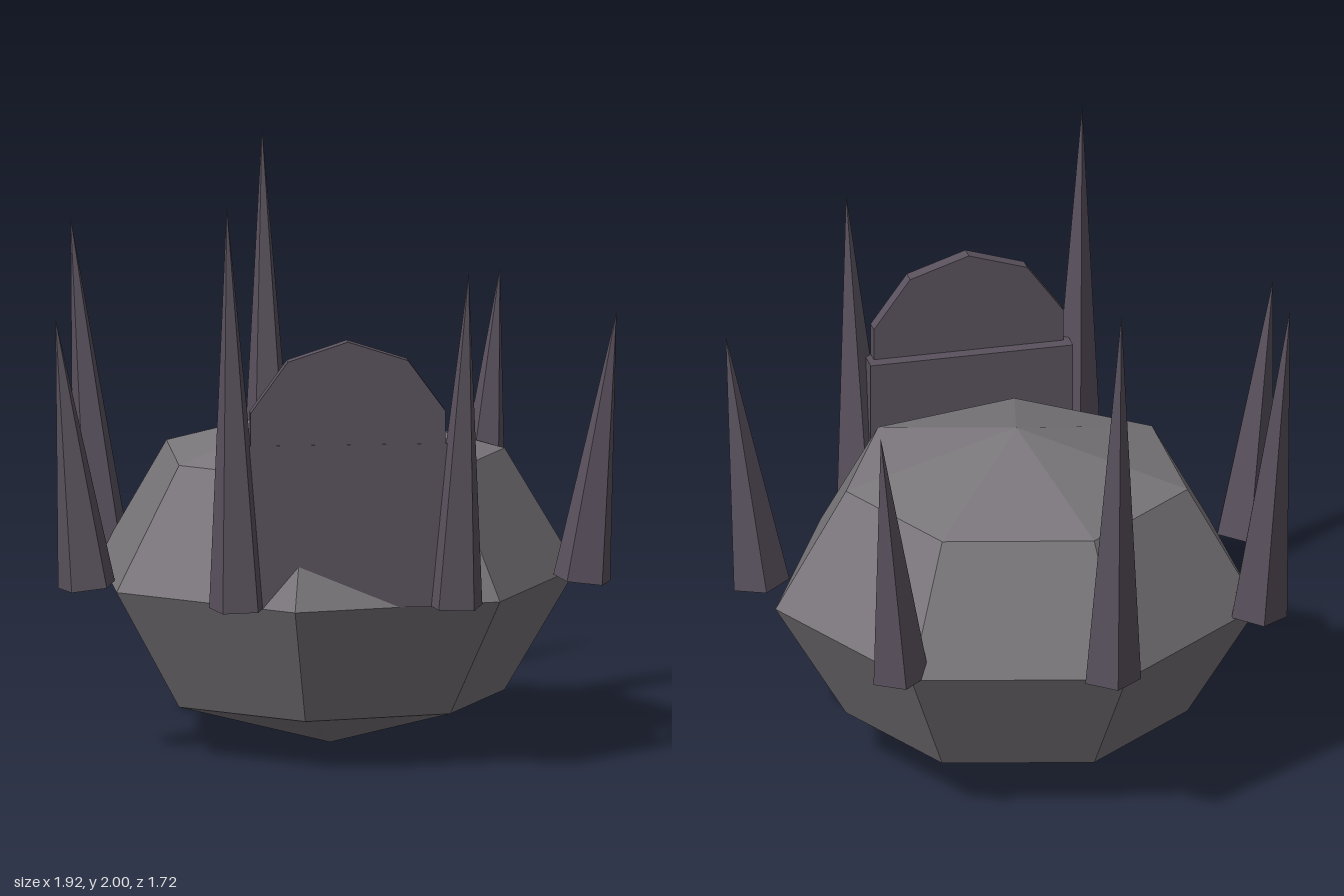
import * as THREE from 'three';

export function createModel() {
  const model = new THREE.Group();
  const mat = (name, color) => {
    const m = new THREE.MeshStandardMaterial({ color, flatShading: true });
    m.name = name;
    return m;
  };
  const stone = mat('grey stone', 0x7a767b);
  const dark = mat('dark purple stone', 0x5a525e);

  const add = (name, geometry, material, x, y, z) => {
    const mesh = new THREE.Mesh(geometry, material);
    mesh.name = name;
    mesh.position.set(x, y, z);
    model.add(mesh);
    return mesh;
  };

  // Squashed seven-sided boulder, with one corner pointing to +x
  const rock = new THREE.SphereGeometry(0.845, 7, 4, Math.PI);
  rock.scale(1, 0.7, 1);
  add('boulder', rock, stone, 0, 0.595, 0.025);

  // Arched door: a slab with a ten-sided disc forming its rounded top
  add('doorSlab', new THREE.BoxGeometry(0.71, 0.565, 0.095), dark, 0, 0.8775, 0.718);
  const arch = new THREE.CylinderGeometry(0.35, 0.35, 0.049, 10);
  arch.rotateX(Math.PI / 2);
  add('doorArch', arch, dark, 0, 1.165, 0.74);

  // Ring of outward-leaning spikes: base x, base z, tip x, tip y, tip z
  const spikes = [
    [-0.85, 0.255, -0.96, 1.525, 0.27],
    [-0.745, -0.39, -0.85, 1.755, -0.435],
    [-0.142, -0.765, -0.162, 1.99, -0.832],
    [0.558, -0.585, 0.637, 1.525, -0.645],
    [0.845, 0.255, 0.96, 1.525, 0.27],
    [0.366, 0.745, 0.41, 1.755, 0.8],
    [-0.373, 0.745, -0.418, 2.0, 0.8],
  ];
  const up = new THREE.Vector3(0, 1, 0);
  for (const [bx, bz, tx, ty, tz] of spikes) {
    const base = new THREE.Vector3(bx, 0.595, bz);
    const lean = new THREE.Vector3(tx, ty, tz).sub(base);
    const height = lean.length();
    const cone = new THREE.ConeGeometry(0.103, height, 5);
    cone.rotateY(Math.PI);
    cone.translate(0, height / 2, 0);
    add('spike', cone, dark, bx, 0.595, bz).quaternion.setFromUnitVectors(up, lean.normalize());
  }

  return model;
}
